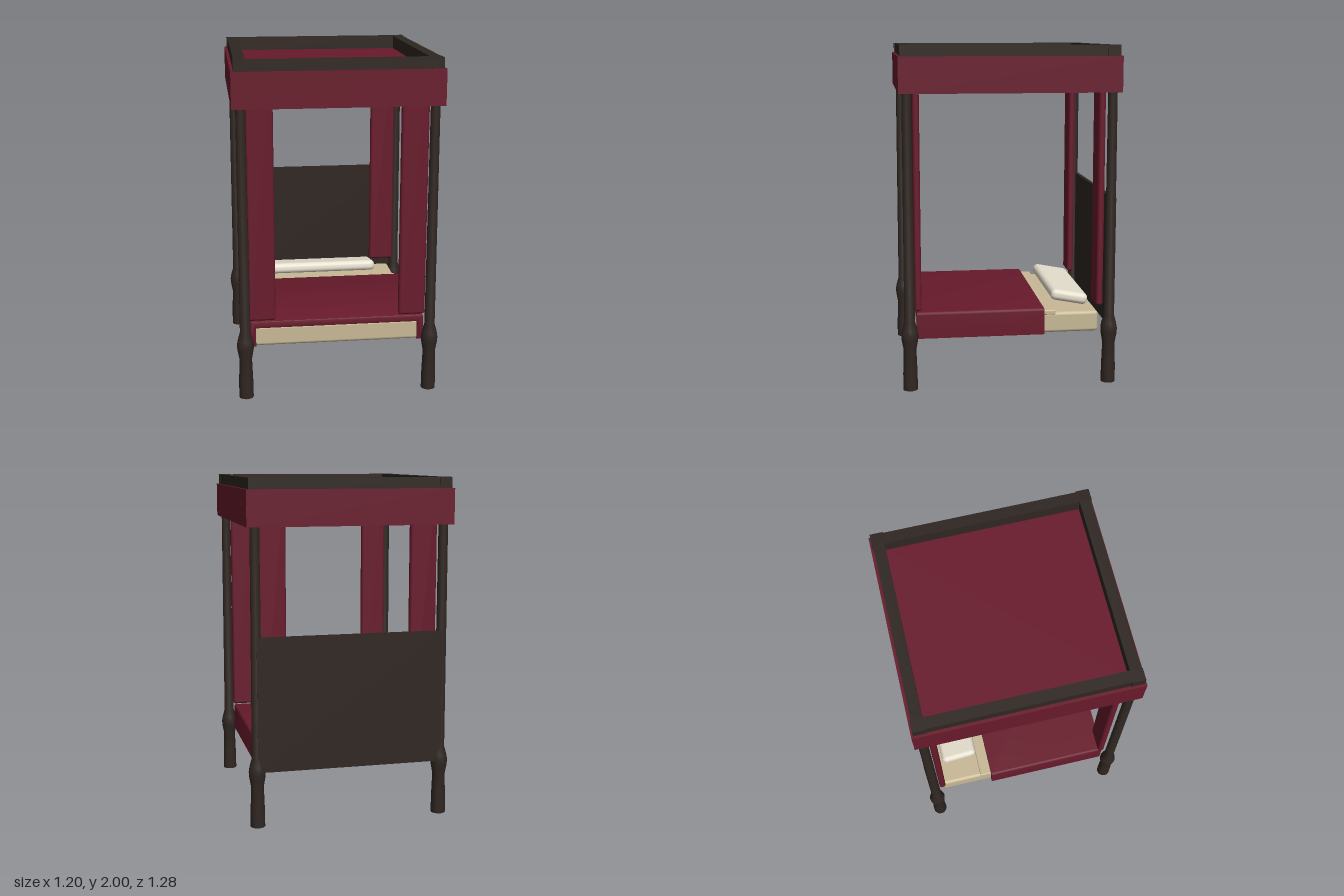
import * as THREE from 'three';
import { RoundedBoxGeometry } from 'three/addons/geometries/RoundedBoxGeometry.js';
import { toCreasedNormals } from 'three/addons/utils/BufferGeometryUtils.js';

const paint = (color) => new THREE.MeshStandardMaterial({ color });

export function createModel() {
  const bed = new THREE.Group();
  bed.name = 'fourPosterBed';
  const wood = paint(0x2f2621);
  const red = paint(0x681a2b);
  const linen = paint(0xc8b996);
  const white = paint(0xe4decd);

  const add = (name, geometry, material, x = 0, y = 0, z = 0) => {
    const mesh = new THREE.Mesh(geometry, material);
    mesh.name = name;
    mesh.position.set(x, y, z);
    bed.add(mesh);
    return mesh;
  };
  const box = (w, h, d) => new THREE.BoxGeometry(w, h, d);
  const soft = (w, h, d, r) => new RoundedBoxGeometry(w, h, d, 3, r);

  // Turned post: thick foot, swelling at bed height, slim shaft
  const profile = [
    [0, 0], [0.043, 0], [0.042, 0.1], [0.037, 0.24], [0.048, 0.3],
    [0.05, 0.33], [0.045, 0.36], [0.031, 0.41], [0.027, 1.95], [0, 1.95],
  ].map(([r, y]) => new THREE.Vector2(r, y));
  const post = toCreasedNormals(new THREE.LatheGeometry(profile, 16), 0.7);
  const cornerBlock = box(0.07, 0.09, 0.076);
  const curtain = soft(0.16, 1.45, 0.04, 0.015);

  for (const sx of [-1, 1]) {
    for (const sz of [-1, 1]) {
      add('post', post, wood, sx * 0.55, 0, sz * 0.592);
      add('cornerBlock', cornerBlock, wood, sx * 0.552, 1.955, sz * 0.59);
      add('curtain', curtain, red, sx * 0.447, 1.185, sz * 0.54);
    }
  }

  // Top frame rails and hanging valance
  for (const s of [-1, 1]) {
    add('sideRail', box(0.066, 0.088, 1.18), wood, s * 0.549, 1.955, 0);
    add('endRail', box(1.1, 0.088, 0.064), wood, 0, 1.955, s * 0.59);
    add('sideValance', box(0.018, 0.207, 1.276), red, s * 0.592, 1.834, 0);
    add('endValance', box(1.2, 0.207, 0.018), red, 0, 1.834, s * 0.63);
  }
  add('canopy', box(1.17, 0.02, 1.25), red, 0, 1.91, 0);

  // Headboard across the two back posts
  add('headboard', box(1.1, 0.785, 0.022), wood, 0, 0.72, -0.613);

  add('mattress', soft(0.995, 0.125, 1.08, 0.02), linen, 0, 0.357, 0);

  // Blanket: an inverted U draped over the mattress
  const w = 0.515, top = 0.447, bottom = 0.3, inner = 0.49, lid = 0.415, r = 0.012;
  const section = new THREE.Shape();
  section.moveTo(-w, bottom);
  section.lineTo(-inner, bottom);
  section.lineTo(-inner, lid);
  section.lineTo(inner, lid);
  section.lineTo(inner, bottom);
  section.lineTo(w, bottom);
  section.lineTo(w, top - r);
  section.quadraticCurveTo(w, top, w - r, top);
  section.lineTo(-w + r, top);
  section.quadraticCurveTo(-w, top, -w, top - r);
  const drape = new THREE.ExtrudeGeometry(section, {
    depth: 0.745, bevelThickness: 0.007, bevelSize: 0.006, bevelSegments: 2, curveSegments: 4,
  });
  add('blanket', toCreasedNormals(drape, 0.6), red, 0, 0, -0.203);

  add('sheetFold', soft(1.0, 0.03, 0.1, 0.008), linen, 0, 0.42, -0.23);

  const pillow = add('pillow', soft(0.73, 0.068, 0.23, 0.03), white, 0, 0.472, -0.392);
  pillow.rotation.x = -0.19;

  return bed;
}
